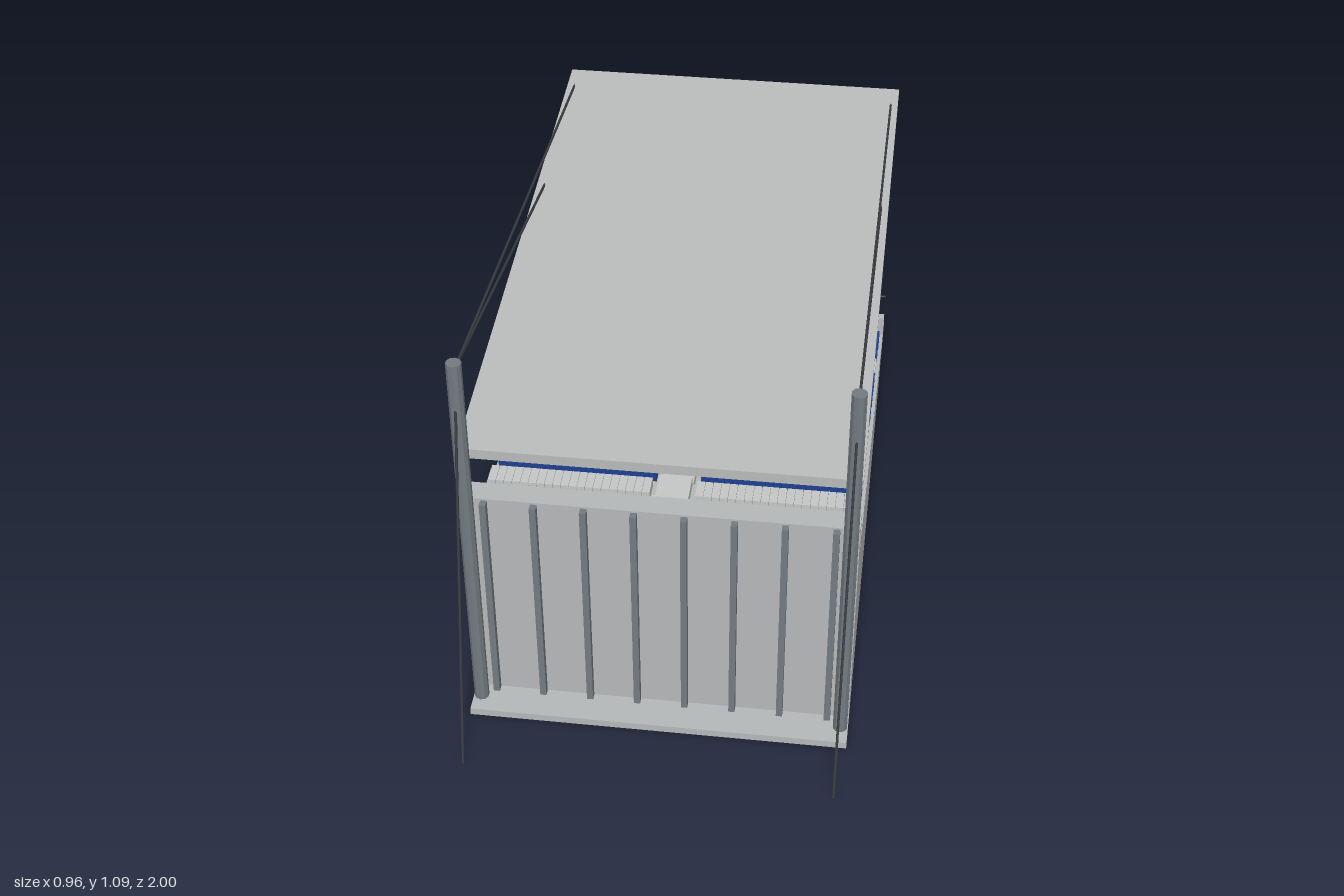
import * as THREE from 'three';

const mat = (name, color) => {
  const m = new THREE.MeshStandardMaterial({ color });
  m.name = name;
  return m;
};

export function createModel() {
  const concrete = mat('concrete', 0xb6b9ba);
  const pale = mat('paleConcrete', 0xc6c8c8);
  const roofGrey = mat('roofGrey', 0xbabcbc);
  const steel = mat('steel', 0x737c82);
  const dark = mat('darkSteel', 0x3a3e42);
  const blue = mat('seatBlue', 0x1f4192);
  steel.flatShading = true;

  const model = new THREE.Group();
  model.name = 'grandstand';
  const W = 0.96;

  const add = (name, geo, material, parent = model) => {
    const mesh = new THREE.Mesh(geo, material);
    mesh.name = name;
    parent.add(mesh);
    return mesh;
  };
  // box given by its limits on each axis
  const box = (name, x0, x1, y0, y1, z0, z1, material, parent) => {
    const geo = new THREE.BoxGeometry(x1 - x0, y1 - y0, z1 - z0);
    geo.translate((x0 + x1) / 2, (y0 + y1) / 2, (z0 + z1) / 2);
    return add(name, geo, material, parent);
  };
  // side profile of [z, y] points extruded across the full width
  const profile = (name, pts, material) => {
    const shape = new THREE.Shape(pts.map(([z, y]) => new THREE.Vector2(-z, y)));
    const geo = new THREE.ExtrudeGeometry(shape, { depth: W, bevelEnabled: false });
    geo.translate(0, 0, -W / 2);
    geo.rotateY(Math.PI / 2);
    return add(name, geo, material);
  };
  // thin round bar between two points
  const bar = (name, a, b, r, material, parent, sides = 6) => {
    const p = new THREE.Vector3(...a), q = new THREE.Vector3(...b);
    const dir = q.clone().sub(p);
    const mesh = add(name, new THREE.CylinderGeometry(r, r, dir.length(), sides), material, parent);
    mesh.position.copy(p).add(q).multiplyScalar(0.5);
    mesh.quaternion.setFromUnitVectors(new THREE.Vector3(0, 1, 0), dir.normalize());
    return mesh;
  };
  const group = (name) => {
    const g = new THREE.Group();
    g.name = name;
    model.add(g);
    return g;
  };

  // base slab
  box('base', -W / 2, W / 2, 0, 0.02, -1, 0.815, concrete);

  // stepped terrace
  const rows = 12, zTop = 0.666, run = 0.126, yTop = 0.526, rise = 0.0413;
  const steps = [[zTop, 0.02]];
  for (let i = 0; i < rows; i++) {
    steps.push([zTop - i * run, yTop - i * rise], [zTop - (i + 1) * run, yTop - i * rise]);
  }
  steps.push([zTop - rows * run, 0.02]);
  profile('terrace', steps, concrete);

  // seats either side of the aisle, with an aisle step on each row
  const seats = group('seats'), aisle = group('aisle');
  const count = 20, x0 = 0.057, pitch = 0.0207, h = 0.029;
  for (let i = 0; i < rows; i++) {
    const z = zTop - i * run, y = yTop - i * rise;
    box('aisleStep', -0.042, 0.042, y, y + h, z - 0.12, z - 0.004, pale, aisle);
    const geo = new THREE.BoxGeometry(0.0198, h, 0.058);
    for (const side of [-1, 1]) {
      for (let k = 0; k < count; k++) {
        const seat = add('seat', geo, i % 4 === 1 ? pale : blue, seats);
        seat.position.set(side * (x0 + (k + 0.5) * pitch), y + h / 2, z - 0.078);
      }
    }
  }

  // rear wall with ribs
  box('rearWall', -W / 2, W / 2, 0.02, 0.655, 0.666, 0.726, concrete);
  const ribs = group('ribs');
  for (let i = 0; i < 8; i++) {
    const x = -0.425 + i * 0.1214;
    box('rib', x - 0.008, x + 0.008, 0.02, 0.65, 0.726, 0.745, steel, ribs);
  }

  // pitch-side parapet and handrail
  box('parapet', -W / 2, W / 2, 0.02, 0.09, -0.933, -0.91, concrete);
  const rail = group('handrail');
  bar('railBar', [-0.48, 0.158, -0.932], [0.48, 0.158, -0.932], 0.003, dark, rail);
  for (let i = -2; i <= 2; i++) {
    bar('railPost', [i * 0.192, 0.085, -0.93], [i * 0.192, 0.158, -0.93], 0.003, dark, rail);
  }

  // tapering roof, cross beams and a row of lamps beneath
  profile('roof', [[0.73, 0.783], [0.73, 0.81], [-0.913, 0.908], [-0.913, 0.893]], roofGrey);
  const under = group('roofUnderside');
  box('beam', -W / 2, W / 2, 0.842, 0.854, -0.222, -0.2, dark, under);
  box('beam', -W / 2, W / 2, 0.863, 0.878, -0.587, -0.565, dark, under);
  for (let i = 0; i < 24; i++) {
    const x = -0.437 + i * 0.038;
    box('lamp', x - 0.011, x + 0.011, 0.861, 0.867, -0.861, -0.841, dark, under);
  }

  // masts with stays
  for (const s of [-1, 1]) {
    const g = group(s > 0 ? 'leftMast' : 'rightMast');
    const x = s * 0.46;
    bar('mast', [x, 0.02, 0.762], [x, 1.09, 0.762], 0.0187, steel, g, 10);
    bar('longStay', [x, 1.067, 0.762], [x, 0.899, -0.85], 0.0035, dark, g);
    bar('shortStay', [x, 1.067, 0.762], [x, 0.87, -0.345], 0.0035, dark, g);
    bar('backStay', [x, 1.03, 0.762], [x, 0.02, 0.997], 0.0035, dark, g);
  }
  return model;
}
